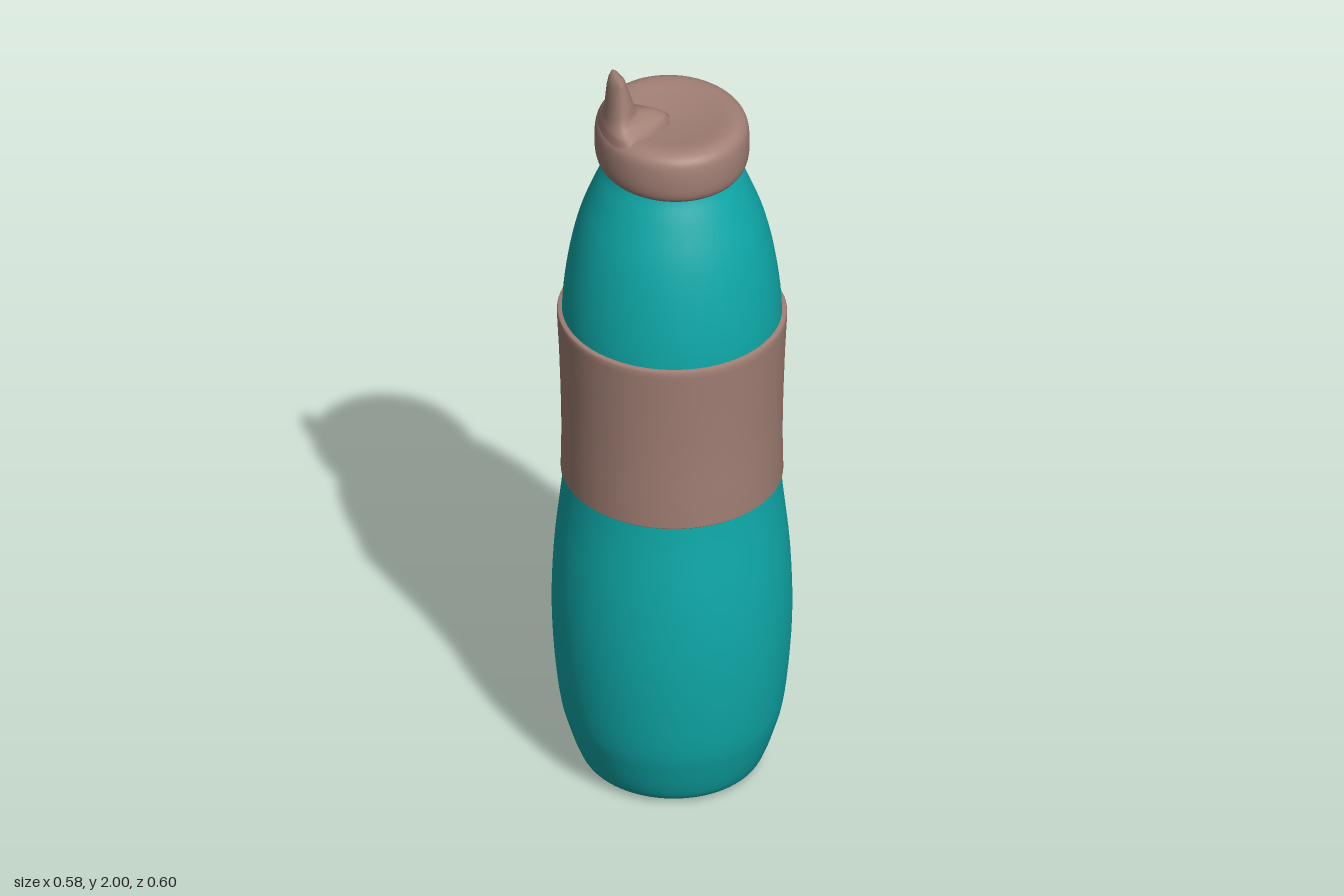
import * as THREE from 'three';

const TEAL = 0x0fa8a8, BROWN = 0xa17f74;
const v2 = ([x, y]) => new THREE.Vector2(x, y);
const smooth = (pts, n) => new THREE.SplineCurve(pts.map(v2)).getPoints(n);

// Named mesh in one of the two colours
function part(name, geometry, color) {
  const mesh = new THREE.Mesh(geometry, new THREE.MeshStandardMaterial({ color, side: THREE.DoubleSide }));
  mesh.name = name;
  return mesh;
}

// Slightly oval turned part; the profile gives radii along x
function turned(name, points, depth, color) {
  const geometry = new THREE.LatheGeometry(points, 80);
  geometry.scale(1, 1, depth);
  return part(name, geometry, color);
}

// Bite spout: stacked teardrop sections that flare into a ridge on the lid
function spoutGeometry() {
  // y, left x, right x, widest x, half depth
  const sections = [
    [1.825, -0.183, -0.005, -0.13, 0.11],
    [1.862, -0.177, -0.008, -0.135, 0.1],
    [1.872, -0.174, -0.02, -0.137, 0.082],
    [1.884, -0.171, -0.045, -0.138, 0.067],
    [1.893, -0.17, -0.082, -0.138, 0.058],
    [1.91, -0.168, -0.097, -0.138, 0.052],
    [1.94, -0.166, -0.106, -0.138, 0.046],
    [1.97, -0.163, -0.115, -0.139, 0.041],
    [1.988, -0.158, -0.121, -0.14, 0.039],
    [1.997, -0.151, -0.128, -0.14, 0.037],
    [2.0, -0.145, -0.135, -0.14, 0.033],
    [2.0, -0.14, -0.14, -0.14, 0],
  ];
  const sides = 40, pos = [], index = [];
  sections.forEach(([y, left, right, mid, depth], row) => {
    const pinch = row < 5 ? 0.45 : 0;
    for (let i = 0; i < sides; i++) {
      const a = (i / sides) * Math.PI * 2, c = Math.cos(a);
      const x = mid + c * (c > 0 ? right - mid : mid - left);
      pos.push(x, y, Math.sin(a) * depth * (1 - pinch * Math.max(0, c)));
      if (row === 0) continue;
      const j = (i + 1) % sides, lo = (row - 1) * sides, hi = row * sides;
      index.push(lo + i, hi + i, lo + j, lo + j, hi + i, hi + j);
    }
  });
  const geometry = new THREE.BufferGeometry();
  geometry.setAttribute('position', new THREE.Float32BufferAttribute(pos, 3));
  geometry.setIndex(index);
  geometry.computeVertexNormals();
  return geometry;
}

export function createModel() {
  const model = new THREE.Group();
  model.name = 'sportsBottle';

  // Bottle body with a flat base, pinched waist and rounded shoulder
  const side = smooth([
    [0.2, 0.005], [0.222, 0.025], [0.25, 0.1], [0.274, 0.2], [0.291, 0.4], [0.287, 0.6],
    [0.265, 0.82], [0.256, 1.0], [0.261, 1.15], [0.267, 1.3], [0.253, 1.44], [0.227, 1.56],
    [0.19, 1.66], [0.163, 1.72], [0.155, 1.76],
  ], 70);
  model.add(turned('body', [[0, 0], [0.17, 0], [0.19, 0.001]].map(v2).concat(side), 1.035, TEAL));

  // Grip sleeve around the waist
  model.add(turned('gripSleeve', [
    [0.25, 0.835], [0.266, 0.835], [0.27, 0.839], [0.268, 0.95], [0.27, 1.06], [0.274, 1.18],
    [0.279, 1.28], [0.279, 1.294], [0.276, 1.3], [0.255, 1.3],
  ].map(v2), 1.035, BROWN));

  // Screw lid with rounded rim and slightly dished top
  model.add(turned('lid', smooth([
    [0.145, 1.735], [0.162, 1.727], [0.178, 1.738], [0.186, 1.765], [0.187, 1.81], [0.181, 1.843],
    [0.162, 1.86], [0.135, 1.863], [0.09, 1.856], [0.04, 1.85], [0, 1.848],
  ], 50), 1.095, BROWN));

  model.add(part('spout', spoutGeometry(), BROWN));
  return model;
}
